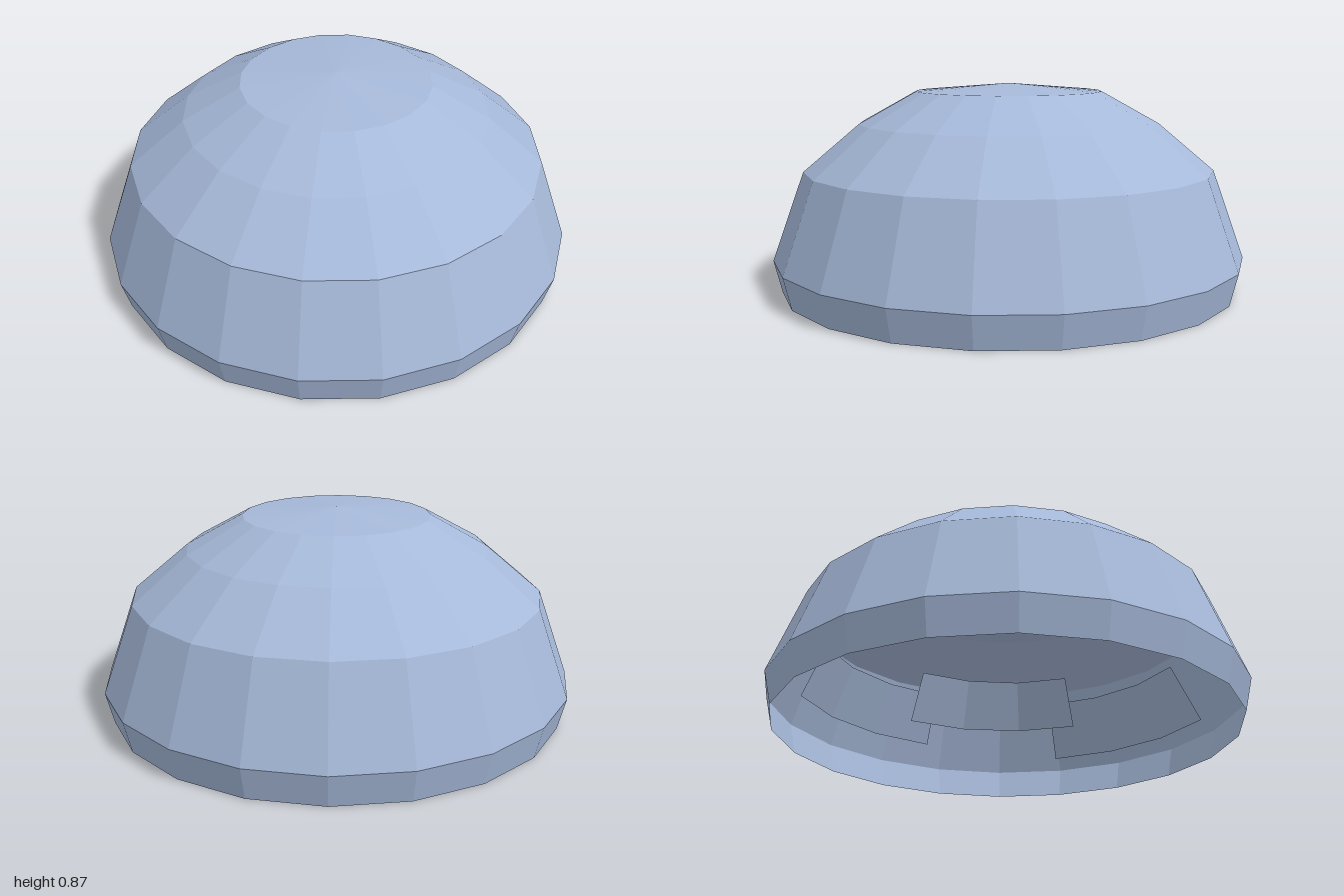
import * as THREE from 'three';

const rad = THREE.MathUtils.degToRad;

export function createModel() {
  const group = new THREE.Group();
  const paleBlue = new THREE.MeshStandardMaterial({
    color: 0xa6b9d9, flatShading: true, side: THREE.DoubleSide,
  });
  paleBlue.name = 'paleBlue';

  // revolve a [radius, height] profile through part of a turn
  const shell = (name, profile, sides, start, sweep) => {
    const points = profile.map(([r, y]) => new THREE.Vector2(r, y));
    const mesh = new THREE.Mesh(
      new THREE.LatheGeometry(points, sides, rad(start), rad(sweep)), paleBlue);
    mesh.name = name;
    group.add(mesh);
  };

  // twenty-sided open dome, narrowing slightly at the foot
  shell('dome', [
    [0.967, 0], [1, 0.135], [0.867, 0.505], [0.635, 0.7], [0.395, 0.833], [0, 0.866],
  ], 20, 14.5, 360);

  // curved plates lining the inside: start angle, end angle, foot and top [radius, height]
  const plates = [
    [-24, 30, [0.94, 0.18], [0.8, 0.42]],
    [-75, -15, [0.8, 0.29], [0.7, 0.51]],
    [-119, -65, [0.92, 0.23], [0.82, 0.46]],
    [47, 101, [0.92, 0.27], [0.84, 0.49]],
    [122, 176, [0.85, 0.13], [0.76, 0.36]],
    [-184, -130, [0.92, 0.22], [0.82, 0.45]],
  ];
  plates.forEach(([from, to, foot, top], i) =>
    shell(`innerPlate${i + 1}`, [foot, top], 3, 45 - to, to - from));

  return group;
}
